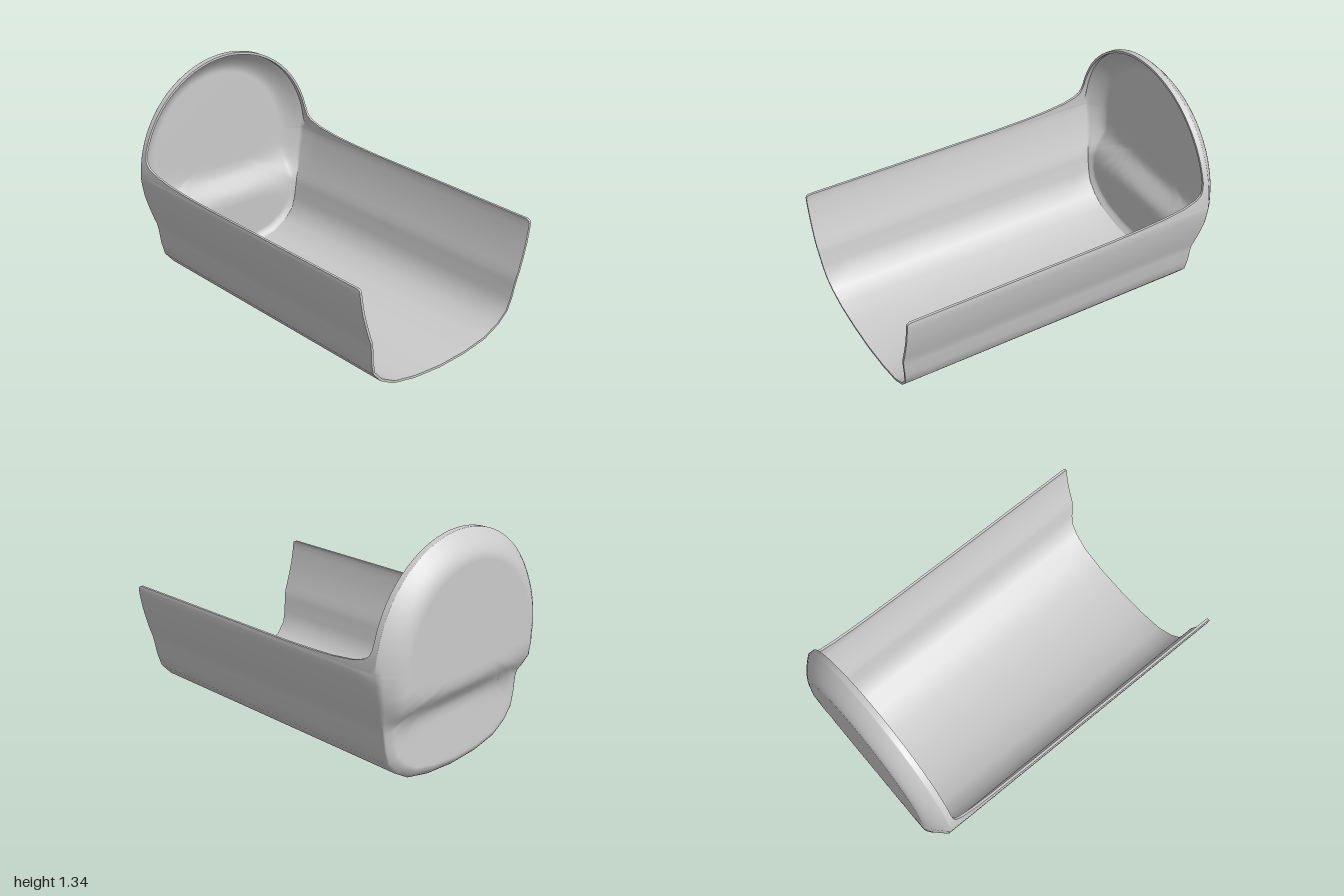
import * as THREE from 'three';

const WALL = 0.014, R = 0.63, CY = 0.71;
const WALL_ROWS = 12, BEVEL_ROWS = 6, PANEL_ROWS = 30;

// Right half of the cross-section, from the bottom up to the circular top
const LOWER = [[0.19, 0.015], [0.35, 0.05], [0.45, 0.11], [0.51, 0.18], [0.532, 0.26],
  [0.545, 0.35], [0.553, 0.39], [0.568, 0.43], [0.59, 0.5], [0.612, 0.58], [0.627, 0.66], [0.632, 0.7]];
// Height -> z of the open edge: long trough sides, then a swept step to the upright disc
const EDGE = [[0.02, 0.96], [0.4, 1], [0.7, 1], [0.715, 0.995], [0.722, 0.98], [0.727, -0.25], [0.733, -0.45],
  [0.742, -0.6], [0.76, -0.74], [0.785, -0.82], [0.81, -0.853], [0.84, -0.865], [0.88, -0.87]];
// Height -> z of the closed back panel, with the slanted ledge
const BACK = [[0.02, -0.925], [0.35, -0.907], [0.39, -0.912], [0.42, -0.925],
  [0.5, -0.982], [0.53, -0.994], [0.57, -1]];

function lookup(table, y) {
  if (y <= table[0][0]) return table[0][1];
  for (let i = 1; i < table.length; i++) {
    const [y0, z0] = table[i - 1], [y1, z1] = table[i];
    if (y <= y1) return z0 + (z1 - z0) * (y - y0) / (y1 - y0);
  }
  return table[table.length - 1][1];
}

function makeOutline() {
  const half = [...LOWER];
  for (const [y] of EDGE.slice(3)) half.push([Math.sqrt(R * R - (y - CY) ** 2), y]);
  const a0 = Math.asin((0.88 - CY) / R), steps = 16;
  for (let i = 1; i < steps; i++) {
    const a = a0 + (Math.PI / 2 - a0) * i / steps;
    half.push([R * Math.cos(a), CY + R * Math.sin(a)]);
  }
  const mirrored = half.map(([x, y]) => [-x, y]).reverse();
  return [[0, 0.003], ...half, [0, CY + R], ...mirrored];
}

function geometry(positions, index) {
  const g = new THREE.BufferGeometry();
  g.setAttribute('position', new THREE.Float32BufferAttribute(positions, 3));
  g.setIndex(index);
  g.computeVertexNormals();
  return g;
}

// Outer skin: rings run from the open edge back, round the bevel and into the panel centre
function outerSkin(outline) {
  const n = outline.length, rows = WALL_ROWS + BEVEL_ROWS + PANEL_ROWS;
  const pos = [], index = [];
  for (let j = 0; j < rows; j++) {
    for (const [x, y] of outline) {
      const edge = lookup(EDGE, y);
      const rim = -0.88 - 0.025 * THREE.MathUtils.smoothstep(y, 0.35, 0.6);
      const inset = 0.09 + 0.125 * THREE.MathUtils.smoothstep(y, 0.3, 0.7);
      if (j <= WALL_ROWS) {
        const z = edge + (rim - edge) * j / WALL_ROWS;
        const lift = 0.016 * Math.max(0, 1 - y / 0.3) * (z + 1) / 2;
        pos.push(x, y + lift, z);
      } else {
        const t = Math.min(1, (j - WALL_ROWS) / BEVEL_ROWS);
        const p = Math.max(0, (j - WALL_ROWS - BEVEL_ROWS) / PANEL_ROWS);
        const k = inset * t + (1 - inset) * p;
        const py = y + (CY - y) * k;
        const z = rim + (lookup(BACK, py) - rim) * (1 - (1 - t) ** 1.6);
        pos.push(x * (1 - k), py, z);
      }
    }
  }
  const centre = rows * n;
  pos.push(0, CY, -1);
  for (let j = 0; j < rows; j++) {
    for (let i = 0; i < n; i++) {
      const i1 = (i + 1) % n, a = j * n + i, b = j * n + i1;
      if (j === rows - 1) index.push(a, centre, b);
      else index.push(a, a + n, b, b, a + n, b + n);
    }
  }
  return geometry(pos, index);
}

// Inner skin: the outer one pushed in along its normals and turned inside out
function innerSkin(outer) {
  const p = outer.attributes.position.array, nrm = outer.attributes.normal.array;
  const pos = Array.from(p, (v, i) => v - WALL * nrm[i]);
  return geometry(pos, Array.from(outer.index.array).reverse());
}

// Narrow lip joining the two skins along the open edge
function lipStrip(outer, inner, n) {
  const pos = [], index = [];
  for (const g of [outer, inner]) pos.push(...g.attributes.position.array.slice(0, n * 3));
  for (let i = 0; i < n; i++) {
    const i1 = (i + 1) % n;
    index.push(i, i1, n + i, i1, n + i1, n + i);
  }
  return geometry(pos, index);
}

export function createModel() {
  const model = new THREE.Group();
  model.name = 'scoop';
  const material = new THREE.MeshStandardMaterial({ color: 0xcccccc, side: THREE.DoubleSide });
  const outline = makeOutline();
  const outer = outerSkin(outline), inner = innerSkin(outer);
  const parts = { outerShell: outer, innerShell: inner, edgeLip: lipStrip(outer, inner, outline.length) };
  for (const [name, g] of Object.entries(parts)) {
    const mesh = new THREE.Mesh(g, material);
    mesh.name = name;
    model.add(mesh);
  }
  return model;
}
